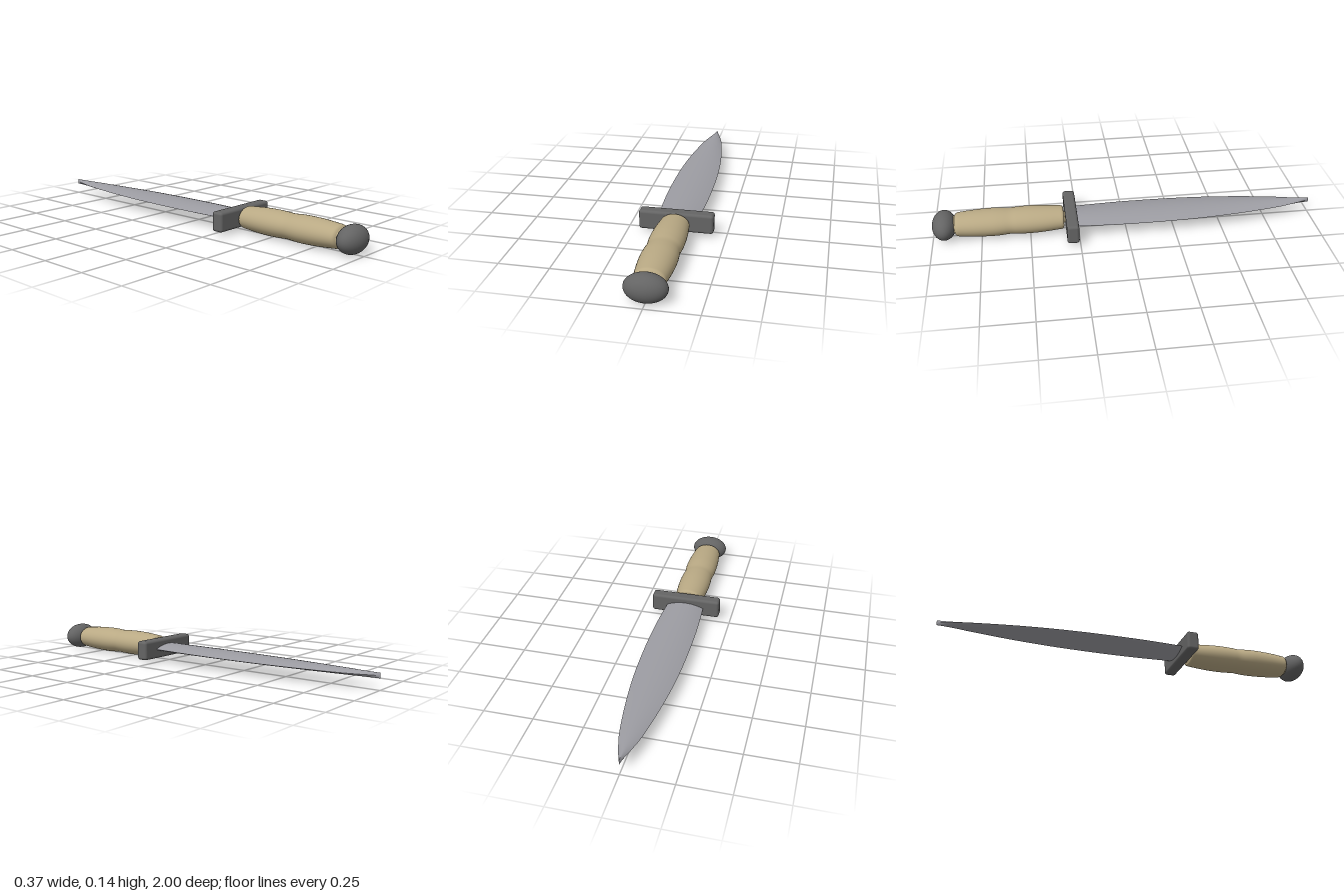
import * as THREE from 'three';
import { RoundedBoxGeometry } from 'three/addons/geometries/RoundedBoxGeometry.js';

const AXIS_Y = 0.07; // height of the knife's long axis

const steel = new THREE.MeshStandardMaterial({ name: 'blade steel', color: 0x9c9ca2 });
const darkMetal = new THREE.MeshStandardMaterial({ name: 'dark metal', color: 0x646464 });
const wood = new THREE.MeshStandardMaterial({ name: 'pale wood', color: 0xb9a984 });

function addMesh(group, name, geometry, material, z = 0) {
  const mesh = new THREE.Mesh(geometry, material);
  mesh.name = name;
  mesh.position.set(0, AXIS_Y, z);
  group.add(mesh);
  return mesh;
}

// One curved face of the blade: lens section, sharp at both edges
function bladeFace() {
  const outline = new THREE.SplineCurve([
    [0.001, -1], [0.033, -0.9], [0.057, -0.8], [0.087, -0.6], [0.106, -0.4],
    [0.114, -0.2], [0.114, 0], [0.108, 0.15], [0.099, 0.28],
  ].map(([x, z]) => new THREE.Vector2(x, z)));
  const geometry = new THREE.PlaneGeometry(2, 1, 20, 48).rotateX(-Math.PI / 2);
  const pos = geometry.attributes.position;
  for (let i = 0; i < pos.count; i++) {
    const u = pos.getX(i);
    const v = THREE.MathUtils.clamp(pos.getZ(i) + 0.5, 0, 1);
    const edge = outline.getPoint(v);
    const thickness = THREE.MathUtils.lerp(0.013, 0.022, v);
    pos.setXYZ(i, u * edge.x, thickness * (1 - u * u), edge.y);
  }
  geometry.computeVertexNormals();
  return geometry;
}

// Handle turned around z, with rounded ends, a slight waist and short necks
function handleGeometry() {
  const body = new THREE.SplineCurve([
    [0.062, 0.325], [0.072, 0.333], [0.076, 0.36], [0.083, 0.43], [0.086, 0.5],
    [0.084, 0.56], [0.081, 0.6], [0.085, 0.645], [0.087, 0.69], [0.084, 0.77],
    [0.076, 0.85], [0.072, 0.872], [0.062, 0.882],
  ].map(([r, z]) => new THREE.Vector2(r, z)));
  const profile = [
    new THREE.Vector2(0, 0.3), new THREE.Vector2(0.035, 0.3), new THREE.Vector2(0.035, 0.324),
    ...body.getPoints(60),
    new THREE.Vector2(0.055, 0.884), new THREE.Vector2(0.055, 0.9), new THREE.Vector2(0, 0.9),
  ];
  // rotateX turns the lathe axis from +y to +z; then flatten the section
  return new THREE.LatheGeometry(profile, 40).rotateX(Math.PI / 2).scale(1, 0.77, 1);
}

export function createModel() {
  const knife = new THREE.Group();
  knife.name = 'knife';

  // Blade: the same face above and below
  const blade = new THREE.Group();
  blade.name = 'blade';
  knife.add(blade);
  addMesh(blade, 'bladeTop', bladeFace(), steel);
  addMesh(blade, 'bladeBottom', bladeFace().rotateZ(Math.PI), steel);

  // Crossguard, handle and pommel
  addMesh(knife, 'guard', new RoundedBoxGeometry(0.374, 0.1, 0.062, 3, 0.014), darkMetal, 0.286);
  addMesh(knife, 'handle', handleGeometry(), wood);
  addMesh(knife, 'pommel', new THREE.SphereGeometry(1, 40, 28).scale(0.1, 0.069, 0.062), darkMetal, 0.938);

  return knife;
}
